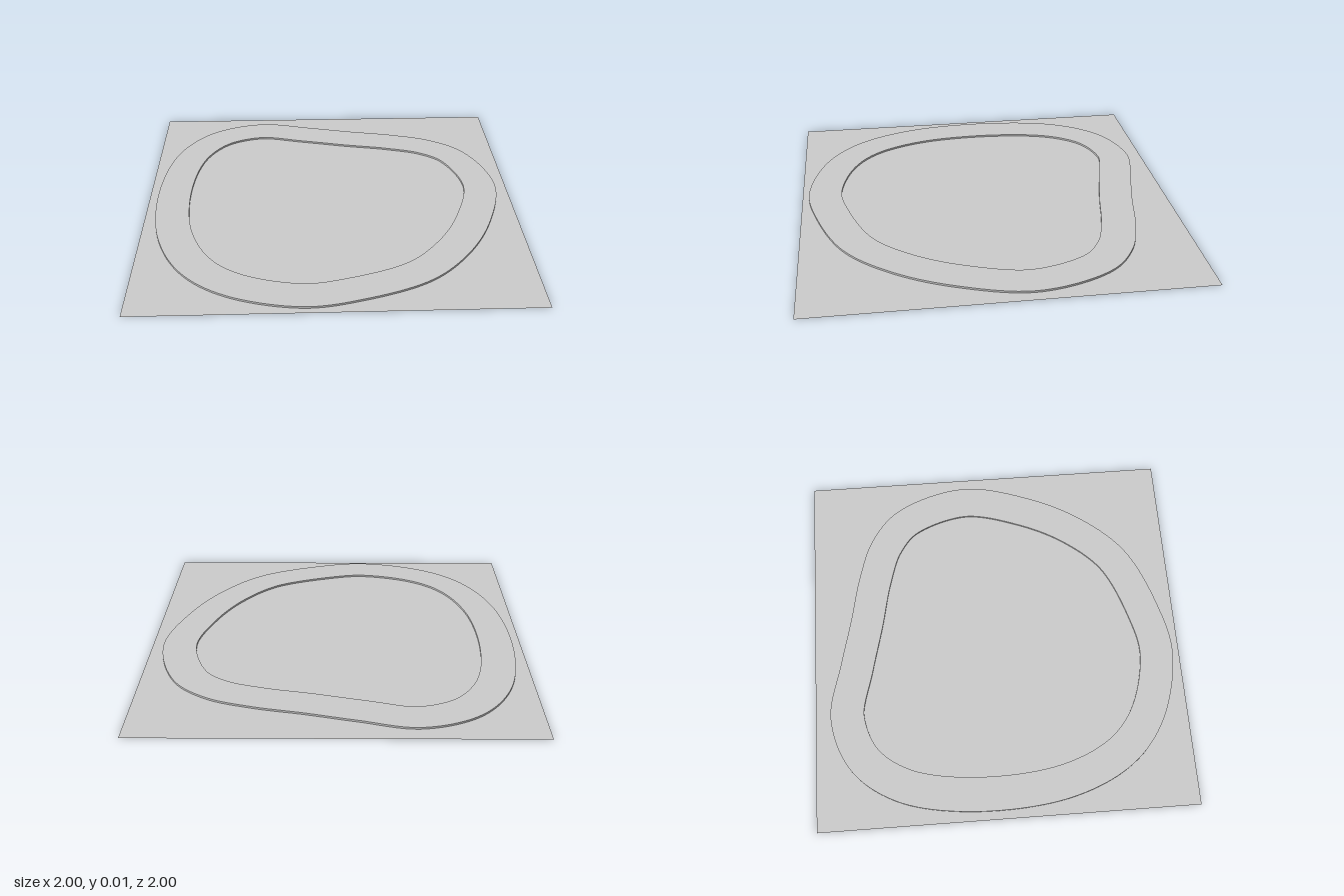
import * as THREE from 'three';

const material = new THREE.MeshStandardMaterial({ color: 0xcccccc, side: THREE.DoubleSide });
const TRACK_WIDTH = 0.18;
const TRACK_HEIGHT = 0.01;

// Outer edge of the circuit as [x, z]
const outerEdge = [
  [-0.76, 0.675], [-0.915, 0.33], [-0.95, -0.2], [-0.865, -0.59], [-0.685, -0.82],
  [-0.4, -0.92], [-0.1, -0.86], [0.15, -0.8], [0.41, -0.745], [0.64, -0.665], [0.82, -0.51],
  [0.94, -0.13], [0.85, 0.25], [0.69, 0.55], [0.47, 0.776], [0.12, 0.92], [-0.16, 0.965],
  [-0.53, 0.865],
];

// Closed smooth loop, moved inward by the given distance; z becomes -y of the flat shape
function edgeLoop(curve, inset, segments = 160) {
  const points = [];
  for (let i = 0; i < segments; i++) {
    const t = i / segments;
    const p = curve.getPointAt(t);
    const d = curve.getTangentAt(t);
    const side = new THREE.Vector2(-d.y, d.x);
    if (side.dot(new THREE.Vector2(p.x, p.y)) > 0) side.negate();
    points.push(new THREE.Vector2(p.x, p.y).addScaledVector(side, inset));
  }
  return points;
}

export function createModel() {
  const group = new THREE.Group();
  group.name = 'circuit';

  // Flat square ground
  const ground = new THREE.Mesh(new THREE.PlaneGeometry(2, 2), material);
  ground.name = 'ground';
  ground.rotation.x = -Math.PI / 2;
  group.add(ground);

  // Slightly raised closed road of constant width
  const curve = new THREE.CatmullRomCurve3(
    outerEdge.map(([x, z]) => new THREE.Vector3(x, -z, 0)), true);
  const shape = new THREE.Shape(edgeLoop(curve, 0));
  shape.holes.push(new THREE.Path(edgeLoop(curve, TRACK_WIDTH)));
  const track = new THREE.Mesh(
    new THREE.ExtrudeGeometry(shape, { depth: TRACK_HEIGHT, bevelEnabled: false }), material);
  track.name = 'track';
  track.rotation.x = -Math.PI / 2;
  group.add(track);

  return group;
}
